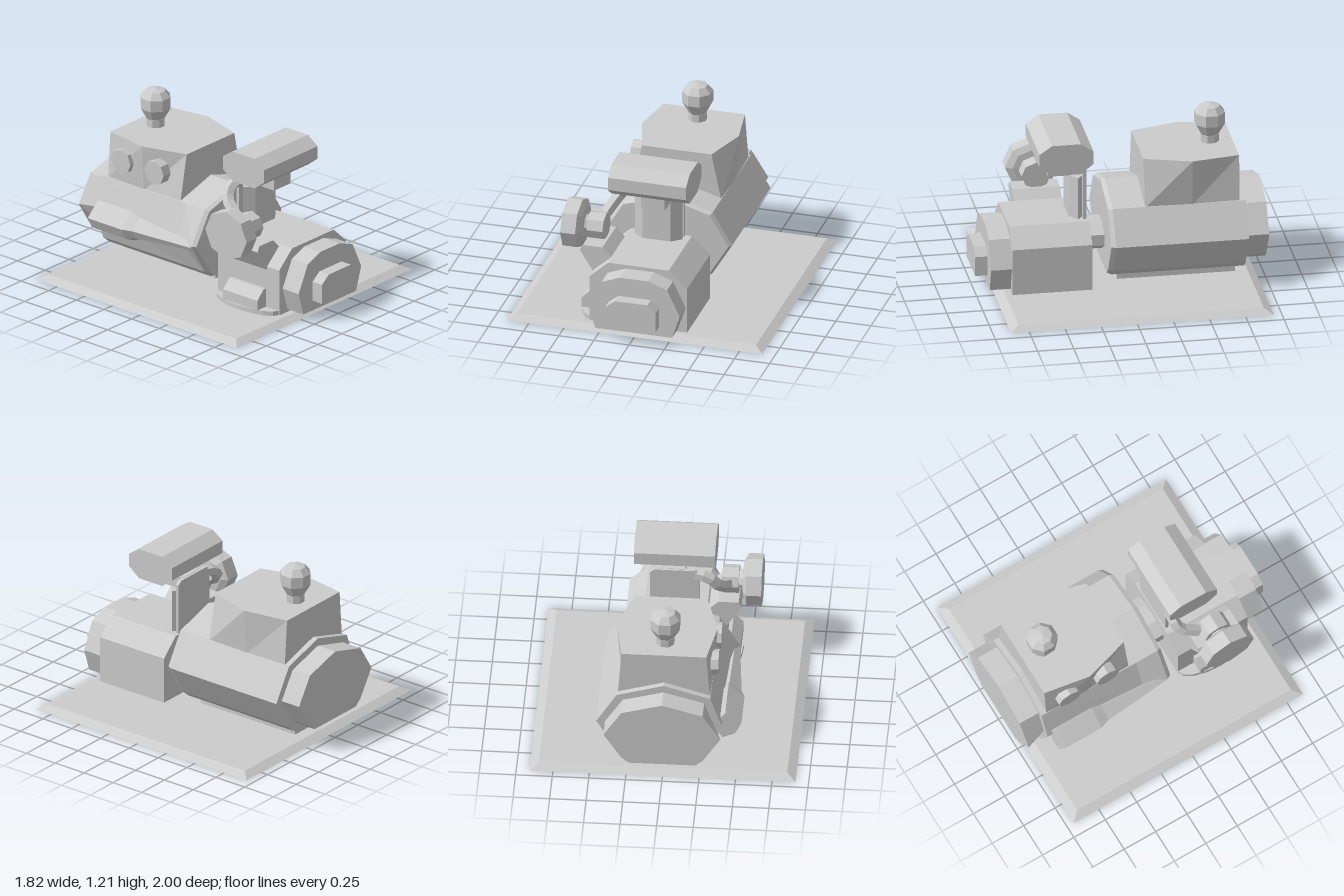
import * as THREE from 'three';

const metal = new THREE.MeshStandardMaterial({ color: 0xcccccc, flatShading: true });
metal.name = 'grey metal';

// Faceted solid through convex cross-sections: rings = [z, [[x, y], ...]], counter-clockwise, z rising
function loft(rings) {
  const pos = [];
  const put = (k, j) => {
    const [z, p] = rings[k];
    const q = p[j % p.length];
    pos.push(q[0], q[1], z);
  };
  const n = rings[0][1].length;
  const last = rings.length - 1;
  for (let k = 0; k < last; k++) {
    for (let j = 0; j < n; j++) {
      put(k, j); put(k, j + 1); put(k + 1, j + 1);
      put(k, j); put(k + 1, j + 1); put(k + 1, j);
    }
  }
  for (let j = 1; j < n - 1; j++) {
    put(0, 0); put(0, j + 1); put(0, j);
    put(last, 0); put(last, j); put(last, j + 1);
  }
  const g = new THREE.BufferGeometry();
  g.setAttribute('position', new THREE.Float32BufferAttribute(pos, 3));
  g.computeVertexNormals();
  return g;
}

// Solid of constant section along z
const prism = (pts, z0, z1) => loft([[z0, pts], [z1, pts]]);
// Sections stacked upward: [y, [[x, -z], ...]]
const stack = (rings) => loft(rings).rotateX(-Math.PI / 2);
const rect = (x0, x1, y0, y1) => [[x0, y0], [x1, y0], [x1, y1], [x0, y1]];
const scaled = (pts, sx, sy, cx, cy) => pts.map(([x, y]) => [cx + (x - cx) * sx, cy + (y - cy) * sy]);
const vec2 = (pts) => pts.map(([r, y]) => new THREE.Vector2(r, y));

export function createModel() {
  const model = new THREE.Group();
  model.name = 'motorPump';
  const add = (name, geometry, x = 0, y = 0, z = 0) => {
    const mesh = new THREE.Mesh(geometry, metal);
    mesh.name = name;
    mesh.position.set(x, y, z);
    model.add(mesh);
  };

  // Base plate with sloping rim
  add('basePlate', stack([
    [0, rect(-0.91, 0.91, -0.875, 0.945)],
    [0.033, rect(-0.85, 0.85, -0.815, 0.885)],
  ]));

  // Large drum, chamfered in front, with a smaller rear cover
  const drum = (left) => [
    [-0.26, 0.1], [0.26, 0.1], [0.32, 0.15], [0.46, 0.38], [0.32, 0.61],
    [0, 0.705], [-0.32, 0.61], [left, 0.38], [-0.32, 0.15],
  ];
  add('drum', loft([
    [-0.85, drum(-0.4)],
    [-0.1, drum(-0.41)],
    [0.07, drum(-0.46)],
    [0.1, scaled(drum(-0.46), 0.96, 0.96, 0, 0.38)],
  ]));
  const cover = (left) => scaled(drum(left), 0.87, 0.83, 0, 0.38);
  add('rearCover', loft([[-1, cover(-0.46)], [-0.85, cover(-0.4)]]));
  add('drumFoot', new THREE.BoxGeometry(0.34, 0.11, 0.82), 0.02, 0.055, -0.39);

  // Upper housing: nearly straight at the bottom, six-sided at the top
  add('housing', stack([
    [0.6, [[-0.315, 0.155], [0.315, 0.155], [0.32, 0.48], [0.315, 0.81], [-0.315, 0.81], [-0.32, 0.48]]],
    [0.935, [[-0.25, 0.155], [0.245, 0.155], [0.345, 0.48], [0.29, 0.81], [-0.29, 0.81], [-0.345, 0.48]]],
  ]));

  // Ball knob and its neck on the housing
  add('topNeck', new THREE.CylinderGeometry(0.065, 0.065, 0.06, 8, 1, false, Math.PI / 8), 0, 0.96, -0.655);
  const ball = vec2([[0, 0.985], [0.06, 0.985], [0.108, 1.07], [0.108, 1.15], [0.07, 1.195], [0, 1.21]]);
  add('topKnob', new THREE.LatheGeometry(ball, 8, Math.PI / 8), 0, 0, -0.655);

  // Round knobs on the housing side
  for (const z of [-0.65, -0.35]) {
    const knob = new THREE.CylinderGeometry(0.088, 0.088, 0.075, 8).rotateZ(Math.PI / 2);
    add('sideKnob', knob, -0.33, 0.78, z);
  }

  // Tilted side grip tapering into a lever
  const grip = [[-0.49, 0.29], [-0.4, 0.25], [-0.33, 0.36], [-0.42, 0.47], [-0.53, 0.37]];
  const shrink = (k) => scaled(grip, k, k, -0.43, 0.37);
  add('sideGrip', loft([
    [-0.81, shrink(0.95)], [-0.77, grip], [-0.5, grip], [-0.43, shrink(0.75)], [0.06, shrink(0.3)],
  ]));

  // Coupling shaft between drum and front block
  const shaft = new THREE.CylinderGeometry(0.1, 0.1, 0.12, 8, 1, false, Math.PI / 8)
    .rotateX(Math.PI / 2).scale(1.75, 1.05, 1);
  add('couplingShaft', shaft, 0, 0.315, 0.158);

  // Front block with flange and nose
  add('frontBlock', prism([
    [-0.35, 0], [0.345, 0], [0.345, 0.365], [0.215, 0.487], [-0.215, 0.487], [-0.35, 0.365],
  ], 0.215, 0.77));
  add('frontFlange', prism([
    [-0.265, 0.053], [0.28, 0.053], [0.335, 0.22], [0.245, 0.41],
    [0.11, 0.46], [-0.09, 0.46], [-0.22, 0.41], [-0.315, 0.22],
  ], 0.77, 0.915));
  add('nose', prism([
    [-0.17, 0.125], [0.19, 0.125], [0.19, 0.265], [0.13, 0.32], [-0.1, 0.32], [-0.17, 0.265],
  ], 0.915, 1));

  // Curved footing and small box beside the front block
  const arc = [];
  for (let i = 0; i <= 8; i++) {
    const a = Math.PI / 2 + (i / 8) * Math.PI;
    arc.push([-0.345 + Math.cos(a) * 0.11, -0.49 + Math.sin(a) * 0.275]);
  }
  add('curvedFooting', stack([[0, arc], [0.065, arc]]));
  add('sideBox', prism([
    [-0.44, 0.06], [-0.345, 0.06], [-0.345, 0.2], [-0.375, 0.2], [-0.44, 0.135],
  ], 0.34, 0.65));

  // Slanted bracket carrying the handwheel
  add('wheelBracket', prism([
    [-0.35, 0.34], [-0.22, 0.47], [-0.29, 0.54], [-0.43, 0.54], [-0.45, 0.5],
  ], 0.33, 0.66));
  const wheel = vec2([
    [0, 0.31], [0.095, 0.31], [0.095, 0.425], [0.06, 0.425], [0.07, 0.45],
    [0.13, 0.455], [0.175, 0.48], [0.175, 0.585], [0, 0.585],
  ]);
  add('handwheel', new THREE.LatheGeometry(wheel, 8).rotateZ(Math.PI / 2).scale(1, 1, 1.07), 0, 0.622, 0.492);

  // Six-sided column with a tall back plate, neck and crosshead
  const plan = [[-0.1, -0.338], [0.1, -0.338], [0.17, -0.284], [0.1, -0.23], [-0.1, -0.23], [-0.17, -0.284]];
  add('column', stack([[0.48, plan], [0.79, plan]]));
  add('columnBackPlate', prism([
    [-0.17, 0.48], [0.17, 0.48], [0.17, 0.85], [0.14, 0.875], [-0.14, 0.875], [-0.17, 0.85],
  ], 0.225, 0.25));
  add('crossheadNeck', new THREE.BoxGeometry(0.17, 0.09, 0.24), 0.015, 0.832, 0.36);
  const beam = prism([
    [-0.1, 0.87], [0.1, 0.87], [0.187, 0.937], [0.187, 1.03],
    [0.1, 1.09], [-0.1, 1.09], [-0.187, 1.03], [-0.187, 0.937],
  ], -0.278, 0.278).rotateY(Math.PI / 2);
  add('crosshead', beam, 0, 0, 0.383);

  // Bent link from the column to the wheel hub
  const path = new THREE.CatmullRomCurve3([
    [-0.14, 0.835, 0.25], [-0.23, 0.815, 0.24], [-0.295, 0.74, 0.26], [-0.35, 0.66, 0.38],
  ].map((p) => new THREE.Vector3(...p)));
  add('bentLink', new THREE.TubeGeometry(path, 6, 0.042, 5));

  return model;
}
